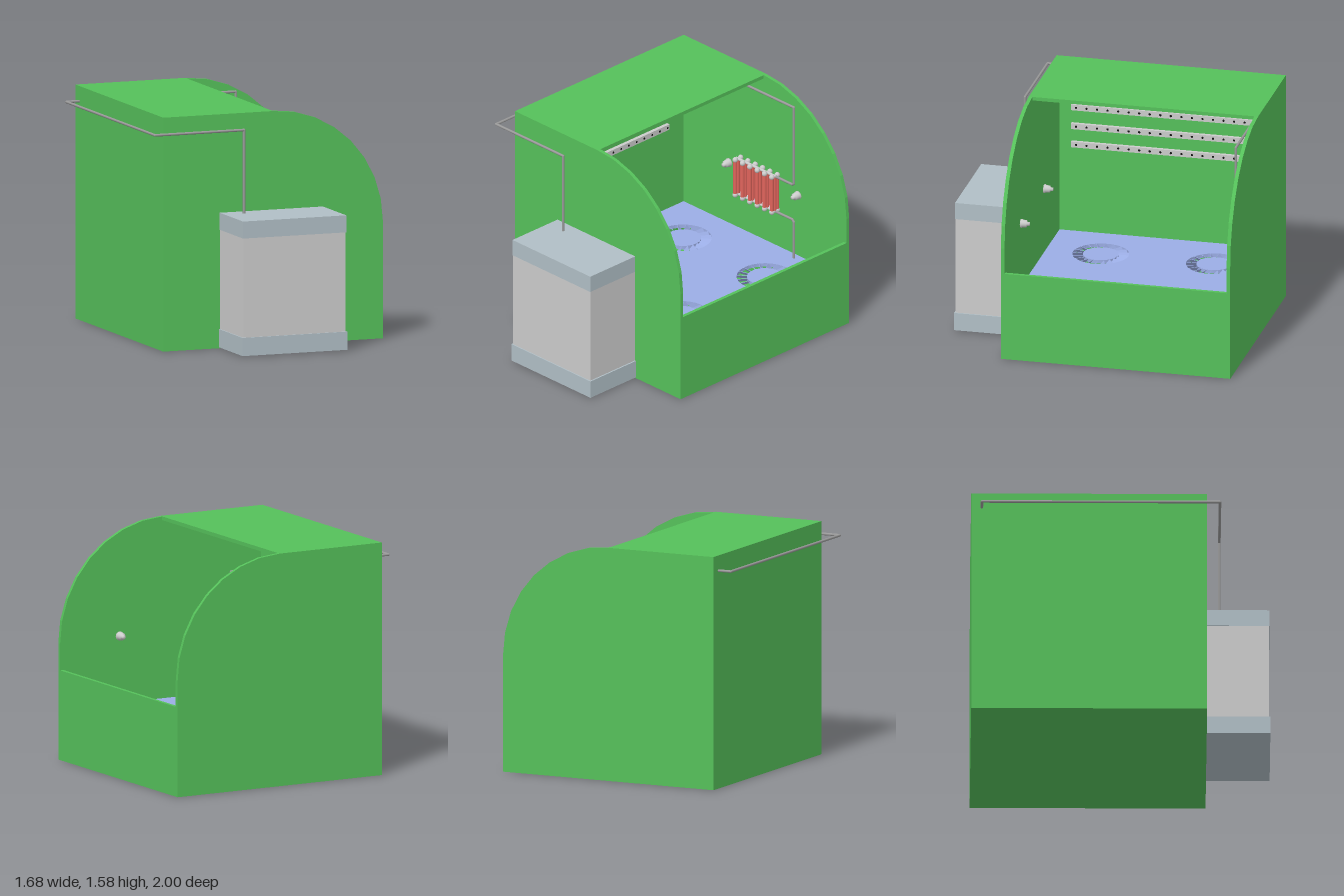
import * as THREE from 'three';

const mat = (color, side = THREE.FrontSide) => new THREE.MeshStandardMaterial({ color, side });
const green = mat(0x55c05a);
const blue = mat(0x9bade5);
const slate = mat(0xb0bec5);
const grey = mat(0xcccccc);
const red = mat(0xe0645c);
const steel = mat(0x999999);
const black = mat(0x111111);

function add(parent, name, geometry, material, x = 0, y = 0, z = 0) {
  const mesh = new THREE.Mesh(geometry, material);
  mesh.name = name;
  mesh.position.set(x, y, z);
  parent.add(mesh);
  return mesh;
}

// Box given by its minimum and maximum corners
function block(parent, name, material, [x0, y0, z0], [x1, y1, z1]) {
  return add(parent, name, new THREE.BoxGeometry(x1 - x0, y1 - y0, z1 - z0), material,
    (x0 + x1) / 2, (y0 + y1) / 2, (z0 + z1) / 2);
}

function subgroup(parent, name) {
  const g = new THREE.Group();
  g.name = name;
  parent.add(g);
  return g;
}

// Straight pipe runs with ball joints at the bends
function pipe(parent, name, points, r = 0.009) {
  const g = subgroup(parent, name);
  const pts = points.map(p => new THREE.Vector3(...p));
  for (let i = 1; i < pts.length; i++) {
    const dir = pts[i].clone().sub(pts[i - 1]);
    const run = add(g, 'pipeRun', new THREE.CylinderGeometry(r, r, dir.length(), 12), steel);
    run.position.copy(pts[i]).add(pts[i - 1]).multiplyScalar(0.5);
    run.quaternion.setFromUnitVectors(new THREE.Vector3(0, 1, 0), dir.normalize());
    if (i < pts.length - 1) add(g, 'pipeElbow', new THREE.SphereGeometry(r, 12, 8), steel, ...points[i]);
  }
}

// Open-sided housing with two arched end walls
function buildHousing(root) {
  const g = subgroup(root, 'housing');
  const profile = new THREE.Shape();
  profile.moveTo(-0.74, 0);
  profile.lineTo(0.84, 0);
  profile.lineTo(0.84, 0.79);
  profile.absarc(0.05, 0.79, 0.79, 0, Math.PI / 2);
  profile.lineTo(-0.74, 1.58);
  const wall = new THREE.ExtrudeGeometry(profile, { depth: 0.025, bevelEnabled: false, curveSegments: 4 });
  add(g, 'frontWall', wall, green, 0, 0, 0.55);
  add(g, 'backWall', wall, green, 0, 0, -1);
  block(g, 'rightWall', green, [-0.74, 0, -0.975], [-0.715, 1.58, 0.55]);
  block(g, 'lowLeftWall', green, [0.815, 0, -0.975], [0.84, 0.61, 0.55]);
  block(g, 'roof', green, [-0.715, 1.555, -0.975], [0.05, 1.58, 0.55]);
  block(g, 'base', green, [-0.715, 0, -0.975], [0.815, 0.025, 0.55]);
}

// Raised floor with four round swirl vents
function buildFloor(root) {
  const g = subgroup(root, 'raisedFloor');
  const top = 0.345, thick = 0.025, outer = 0.19, inner = 0.12, blades = 20;
  const centres = [];
  for (const x of [-0.34, 0.44]) for (const z of [-0.605, 0.175]) centres.push([x, z]);

  // The shape's y becomes -z once the slab is laid flat
  const slab = new THREE.Shape();
  slab.moveTo(-0.715, -0.55);
  slab.lineTo(0.815, -0.55);
  slab.lineTo(0.815, 0.975);
  slab.lineTo(-0.715, 0.975);
  for (const [x, z] of centres) slab.holes.push(new THREE.Path().absarc(x, -z, outer, 0, Math.PI * 2, true));
  const geo = new THREE.ExtrudeGeometry(slab, { depth: thick, bevelEnabled: false, curveSegments: 20 });
  add(g, 'floorPanel', geo.rotateX(-Math.PI / 2), blue, 0, top - thick, 0);

  const hub = new THREE.CylinderGeometry(inner, inner, thick, 40);
  const blade = new THREE.BoxGeometry(outer - inner + 0.006, 0.003, 0.04).rotateX(0.85);
  for (const [x, z] of centres) {
    const vent = subgroup(g, 'swirlVent');
    vent.position.set(x, top - thick / 2, z);
    add(vent, 'ventHub', hub, blue);
    for (let i = 0; i < blades; i++) {
      const a = (i / blades) * Math.PI * 2, r = (outer + inner) / 2;
      add(vent, 'ventBlade', blade, blue, r * Math.cos(a), -0.003, -r * Math.sin(a)).rotation.y = a;
    }
  }
}

// Perforated strips on the inner wall
function buildStrips(root) {
  const g = subgroup(root, 'perforatedStrips');
  const hole = new THREE.CircleGeometry(0.008, 12).rotateY(Math.PI / 2);
  for (const y of [0.97, 1.1, 1.235]) {
    block(g, 'strip', grey, [-0.715, y - 0.02, -0.82], [-0.69, y + 0.02, 0.465]);
    for (let i = 0; i < 18; i++) add(g, 'stripHole', hole, black, -0.6885, y, 0.43 - i * 0.0724);
  }
}

// Column radiator hung on the back wall
function buildRadiator(root) {
  const g = subgroup(root, 'radiator');
  const column = new THREE.CylinderGeometry(0.014, 0.014, 0.26, 12);
  const cap = new THREE.SphereGeometry(0.019, 12, 8);
  const bridge = new THREE.CylinderGeometry(0.011, 0.011, 0.055, 10).rotateX(Math.PI / 2);
  for (let i = 0; i < 6; i++) {
    const x = 0.2 - i * 0.07;
    for (const z of [-0.954, -0.929, -0.904]) add(g, 'radiatorColumn', column, red, x, 0.76, z);
    for (const y of [0.63, 0.893]) {
      for (const z of [-0.954, -0.904]) add(g, 'radiatorCap', cap, grey, x, y, z);
      add(g, 'radiatorBridge', bridge, grey, x, y, -0.929);
    }
  }
  const header = new THREE.CylinderGeometry(0.01, 0.01, 0.38, 10).rotateZ(Math.PI / 2);
  for (const y of [0.63, 0.893]) add(g, 'radiatorHeader', header, grey, 0.025, y, -0.929);
}

// Stubby nozzles on both end walls
function buildNozzles(root) {
  const g = subgroup(root, 'nozzles');
  const profile = [[0, -0.01], [0.03, -0.01], [0.03, 0.01], [0.026, 0.012], [0.024, 0.04], [0.014, 0.045], [0.012, 0.062], [0, 0.062]]
    .map(([r, h]) => new THREE.Vector2(r, h));
  const geo = new THREE.LatheGeometry(profile, 16);
  for (const x of [-0.28, 0.38]) {
    add(g, 'backNozzle', geo, grey, x, 0.8, -0.975).rotation.x = Math.PI / 2;
    add(g, 'frontNozzle', geo, grey, x, 0.8, 0.55).rotation.x = -Math.PI / 2;
  }
}

// Boiler cabinet standing against the front wall
function buildBoiler(root) {
  const g = subgroup(root, 'boiler');
  block(g, 'boilerBase', slate, [-0.34, 0.007, 0.575], [0.415, 0.13, 1]);
  block(g, 'boilerBody', grey, [-0.332, 0.13, 0.575], [0.405, 0.8, 0.992]);
  block(g, 'boilerTop', slate, [-0.334, 0.8, 0.575], [0.408, 0.915, 0.995]);
}

export function createModel() {
  const root = new THREE.Group();
  root.name = 'heatedChamber';
  buildHousing(root);
  buildFloor(root);
  buildStrips(root);
  buildRadiator(root);
  buildNozzles(root);
  buildBoiler(root);
  // Supply pipe from the boiler around the housing to the radiator, and the return below
  pipe(root, 'supplyPipe', [
    [-0.193, 0.91, 0.66], [-0.193, 1.478, 0.66], [-0.833, 1.478, 0.66], [-0.833, 1.478, -0.929],
    [0.385, 1.478, -0.929], [0.385, 0.905, -0.929], [0.37, 0.893, -0.929], [0.2, 0.893, -0.929]]);
  pipe(root, 'returnPipe', [
    [0.2, 0.63, -0.929], [0.37, 0.63, -0.929], [0.385, 0.615, -0.929], [0.385, 0.33, -0.929]]);
  return root;
}
